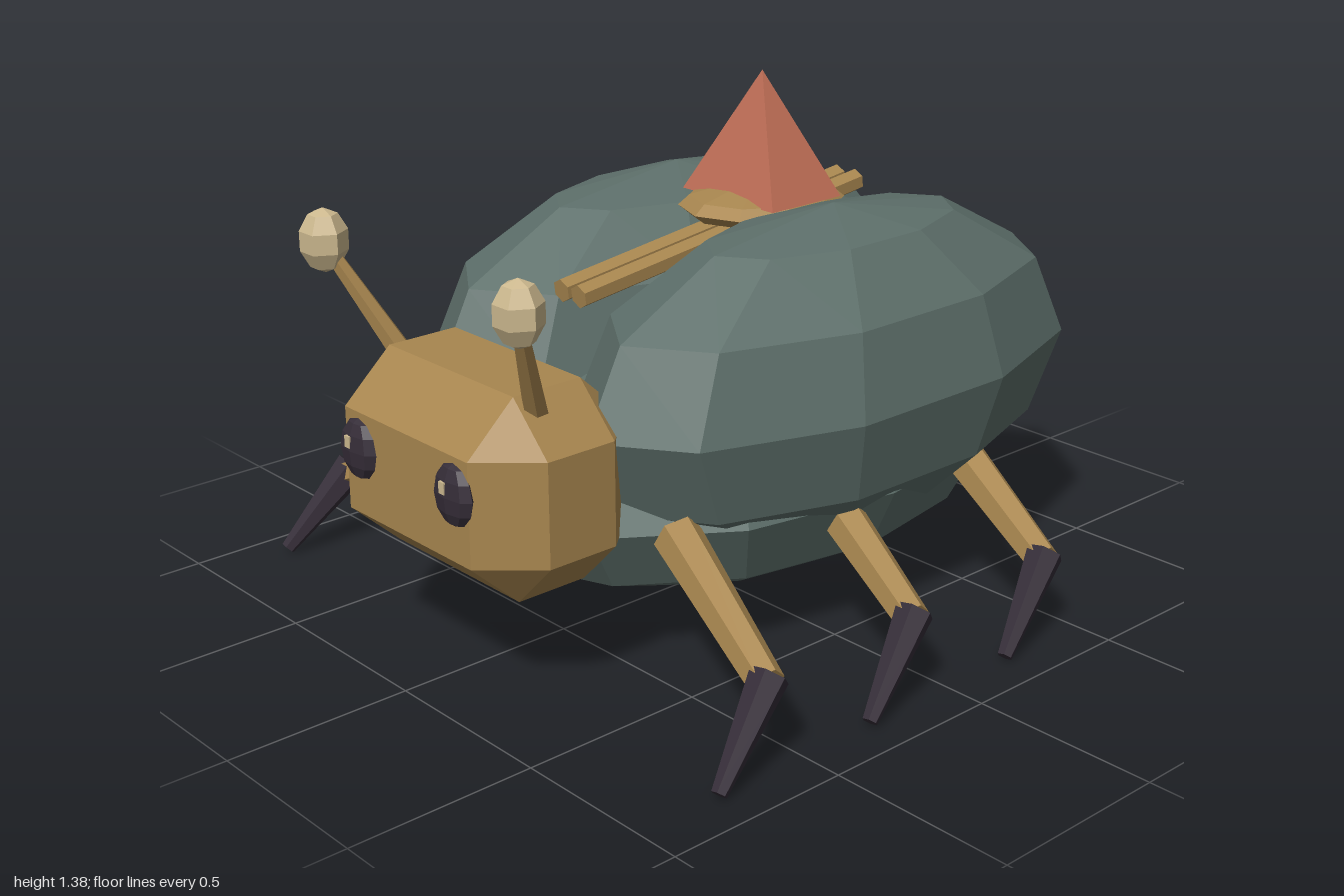
import * as THREE from 'three';
import { ConvexGeometry } from 'three/addons/geometries/ConvexGeometry.js';

const mat = (name, color) => {
  const m = new THREE.MeshStandardMaterial({ color, flatShading: true });
  m.name = name;
  return m;
};

export function createModel() {
  const model = new THREE.Group();
  model.name = 'beetle';
  const shell = mat('slate green', 0x5d6f6a);
  const tan = mat('tan', 0xa8864f);
  const red = mat('brick red', 0xbd6d55);
  const dark = mat('dark plum', 0x352d38);
  const pale = mat('pale sand', 0xcdb98f);

  const add = (name, geo, material, parent = model) => {
    const mesh = new THREE.Mesh(geo, material);
    mesh.name = name;
    parent.add(mesh);
    return mesh;
  };

  // Faceted ellipsoid with a vertex column facing +z and -z
  const ellipsoid = (name, material, pos, radii, w, h, turn = Math.PI / 2, parent = model) => {
    const geo = new THREE.SphereGeometry(1, w, h).rotateY(turn).scale(...radii);
    const mesh = add(name, geo, material, parent);
    mesh.position.set(...pos);
    return mesh;
  };

  // Tapered six-sided rod from a to b
  const rod = (name, material, a, b, ra, rb, parent = model) => {
    const p = new THREE.Vector3(...a), q = new THREE.Vector3(...b);
    const dir = q.clone().sub(p);
    const mesh = add(name, new THREE.CylinderGeometry(rb, ra, dir.length(), 6), material, parent);
    mesh.position.copy(p).add(q).multiplyScalar(0.5);
    mesh.quaternion.setFromUnitVectors(new THREE.Vector3(0, 1, 0), dir.normalize());
    return mesh;
  };

  // Belly
  ellipsoid('belly', shell, [0, 0.4, -0.105], [0.6, 0.34, 0.87], 12, 6);

  // Head: box with chamfered edges and corners
  const corners = [];
  for (const sx of [-1, 1]) for (const sy of [-1, 1]) for (const sz of [-1, 1]) {
    for (const [x, y, z] of [[0.375, 0.135, 0.1], [0.25, 0.262, 0.1], [0.25, 0.135, 0.238]]) {
      corners.push(new THREE.Vector3(sx * x, sy * y, sz * z));
    }
  }
  add('head', new ConvexGeometry(corners), tan).position.set(0, 0.538, 0.73);

  for (const s of [1, -1]) {
    const side = s > 0 ? 'left' : 'right';

    // Wing case
    ellipsoid(side + 'WingCase', shell, [s * 0.3, 0.652, -0.17], [0.39, 0.439, 0.828], 10, 6);

    // Eye with a small glint
    ellipsoid(side + 'Eye', dark, [s * 0.195, 0.577, 0.968], [0.072, 0.08, 0.03], 8, 6);
    add(side + 'EyeGlint', new THREE.BoxGeometry(0.02, 0.03, 0.008), pale)
      .position.set(s * 0.195 - 0.008, 0.6, 0.995);

    // Antenna
    rod(side + 'Antenna', tan, [s * 0.265, 0.75, 0.775], [s * 0.375, 1.02, 0.9], 0.032, 0.02);
    ellipsoid(side + 'AntennaKnob', pale, [s * 0.39, 1.056, 0.912], [0.063, 0.083, 0.063], 6, 5, 0);

    // Legs
    [['front', 0], ['middle', -0.49], ['rear', -0.985]].forEach(([place, dz]) => {
      const leg = new THREE.Group();
      leg.name = side + place[0].toUpperCase() + place.slice(1) + 'Leg';
      leg.position.z = dz;
      model.add(leg);
      rod('upperLeg', tan, [s * 0.42, 0.4, 0.475], [s * 0.85, 0.207, 0.585], 0.062, 0.045, leg);
      rod('claw', dark, [s * 0.848, 0.225, 0.575], [s * 0.895, 0.014, 0.775], 0.05, 0.02, leg);
    });

    // Rail along the back
    rod(side + 'Rail', tan, [s * 0.034, 0.91, 0.455], [s * 0.034, 1.035, -0.53], 0.031, 0.031);
  }

  // Saddle and pyramid on the back
  ellipsoid('saddle', tan, [0, 1.03, -0.205], [0.2, 0.052, 0.24], 10, 6);
  const pyramid = new THREE.ConeGeometry(Math.SQRT1_2, 1, 4).rotateY(Math.PI / 4).scale(0.345, 0.33, 0.25);
  add('pyramid', pyramid, red).position.set(0, 1.218, -0.203);

  return model;
}
